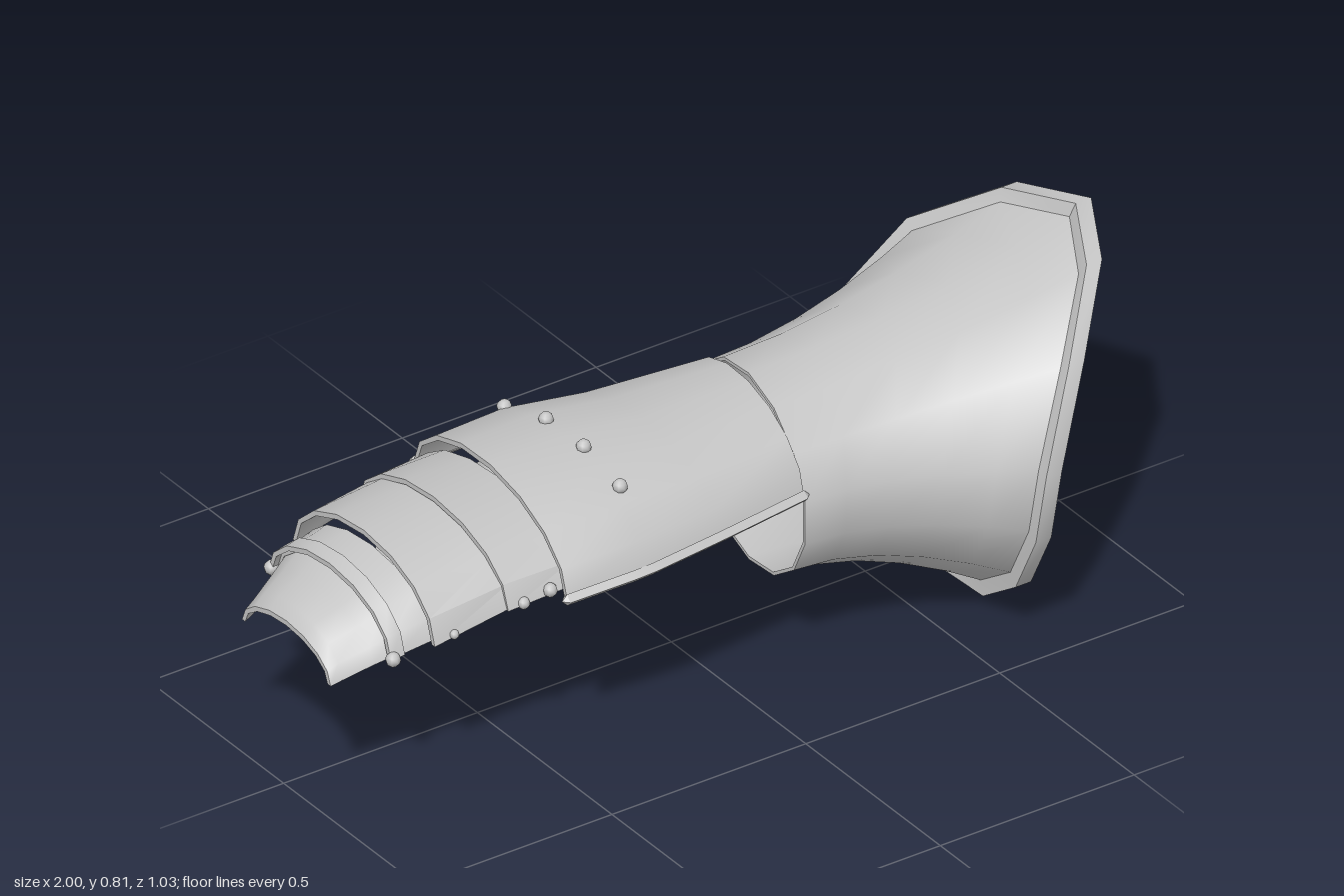
import * as THREE from 'three';
import { toCreasedNormals } from 'three/addons/utils/BufferGeometryUtils.js';

const V = (x, y, z) => new THREE.Vector3(x, y, z);

// Skin closed loops of points; join last loop to first, or cap hollow-arch ends
function loft(rings, joinEnds) {
  const n = rings[0].length, m = rings.length, index = [];
  const quad = (a, b, c, d) => index.push(a, b, c, a, c, d);
  for (let j = 0; j < (joinEnds ? m : m - 1); j++) {
    const r = j * n, s = ((j + 1) % m) * n;
    for (let i = 0; i < n; i++) {
      const k = (i + 1) % n;
      quad(r + i, s + i, s + k, r + k);
    }
  }
  if (!joinEnds) {
    const e = (m - 1) * n;
    for (let i = 0; i < n / 2 - 1; i++) {
      const p = n - 1 - i;
      quad(i, i + 1, p - 1, p);
      quad(e + p, e + p - 1, e + i + 1, e + i);
    }
  }
  const g = new THREE.BufferGeometry().setFromPoints(rings.flat());
  g.setIndex(index);
  return toCreasedNormals(g, 0.6);
}

// Hollow half-ellipse: centre, half-width vector, height vector
function arch(c, w, up, thick = 0.012, steps = 8) {
  const row = (t) => Array.from({ length: steps + 1 }, (_, i) => {
    const a = (Math.PI * i) / steps;
    return c.clone()
      .addScaledVector(w, Math.cos(a) * (1 - t / w.length()))
      .addScaledVector(up, Math.sin(a) * (1 - t / up.length()));
  });
  return [...row(0), ...row(thick).reverse()];
}

export function createModel() {
  const group = new THREE.Group();
  const steel = new THREE.MeshStandardMaterial({ color: 0xc4c4c4, side: THREE.DoubleSide });
  steel.name = 'steel';
  const add = (name, geometry, parent = group) => {
    const mesh = new THREE.Mesh(geometry, steel);
    mesh.name = name;
    parent.add(mesh);
    return mesh;
  };

  // Flared cuff: round wrist opening to a slanted fourteen-sided rim
  const rim = [
    [0.99, 0.82, 0.12], [0.93, 0.785, -0.07], [0.8, 0.67, -0.235], [0.71, 0.49, -0.33],
    [0.69, 0.32, -0.32], [0.68, 0.15, -0.235], [0.68, 0.045, -0.08], [0.67, 0.005, 0.09],
    [0.65, 0.035, 0.265], [0.63, 0.14, 0.415], [0.62, 0.3, 0.505], [0.64, 0.46, 0.515],
    [0.75, 0.66, 0.44], [0.9, 0.785, 0.29],
  ].map((p) => V(...p));
  const cuffRing = (t, inset, dx = 0) => rim.map((r, i) => {
    const a = (2 * Math.PI * i) / rim.length;
    const z0 = 0.05 - 0.265 * Math.sin(a), y0 = 0.41 + 0.232 * Math.cos(a);
    const x0 = 0.165 - 0.13 * (z0 - 0.05);
    const u = Math.pow(t, 1.8);
    const p = V(x0 + (r.x - x0) * t + dx, y0 + (r.y - y0) * u, z0 + (r.z - z0) * u);
    const out = V(0, r.y - 0.41, r.z - 0.093).normalize();
    return p.addScaledVector(out, -inset);
  });
  const ts = [0, 0.2, 0.4, 0.6, 0.8, 0.95];
  add('cuff', loft([
    ...ts.map((t) => cuffRing(t, 0.018 * t)),
    cuffRing(1, 0, -0.03),
    cuffRing(1, 0, 0.01),
    cuffRing(1, 0.03, 0.01),
    ...ts.slice().reverse().map((t) => cuffRing(t, 0.008 + 0.026 * t)),
  ], true));

  // Back-of-hand and finger plates: [x, centre z, half width, edge y, top y, slant]
  const hand = [
    [-0.475, 0.012, 0.322, 0.455, 0.62, -0.025], [-0.3, 0.027, 0.325, 0.467, 0.638, -0.01],
    [-0.1, 0.035, 0.295, 0.47, 0.618, 0], [0.165, 0.048, 0.258, 0.478, 0.622, -0.035],
  ];
  const plates = {
    handPlate: hand,
    knucklePlate: [[-0.62, 0.01, 0.278, 0.445, 0.59], [-0.45, 0.01, 0.288, 0.46, 0.578]],
    middleFingerPlate: [[-0.8, 0.01, 0.264, 0.413, 0.57], [-0.6, 0.01, 0.274, 0.45, 0.575]],
    outerFingerPlate: [[-0.87, 0.008, 0.222, 0.39, 0.506], [-0.78, 0.01, 0.235, 0.41, 0.527]],
    fingerBand: [[-0.885, 0.006, 0.228, 0.386, 0.515], [-0.852, 0.008, 0.23, 0.394, 0.525]],
    fingertipPlate: [
      [-1, 0.01, 0.165, 0.335, 0.415], [-0.975, 0.01, 0.17, 0.343, 0.44],
      [-0.91, 0.008, 0.195, 0.37, 0.465], [-0.86, 0.008, 0.215, 0.39, 0.495],
    ],
  };
  for (const [name, rows] of Object.entries(plates)) {
    add(name, loft(rows.map(([x, z, w, y0, y1, slant = 0]) =>
      arch(V(x, y0, z), V(slant, 0, w), V(0, y1 - y0, 0)))));
  }

  // Raised square beads along both sides of the hand plate
  for (const side of [1, -1]) {
    const path = new THREE.CurvePath();
    const pts = hand.map(([x, z, w, y, , slant]) => V(x + side * slant, y, z + side * w));
    for (let i = 0; i < pts.length - 1; i++) path.add(new THREE.LineCurve3(pts[i], pts[i + 1]));
    const bead = new THREE.TubeGeometry(path, 12, 0.014, 4);
    add(side > 0 ? 'handBeadFront' : 'handBeadBack', toCreasedNormals(bead, 0.6));
    // Small end faces
    for (const end of [0, pts.length - 1]) {
      add('beadEnd', new THREE.OctahedronGeometry(0.014)).position.copy(pts[end]);
    }
  }

  // Rivets across the hand and at the finger hinges
  const rivets = new THREE.Group();
  rivets.name = 'rivets';
  group.add(rivets);
  const rivet = (x, y, z, r) =>
    add('rivet', new THREE.SphereGeometry(r, 8, 6), rivets).position.set(x, y, z);
  for (const z of [-0.21, -0.055, 0.085, 0.22]) {
    const k = (z - 0.027) / 0.325;
    rivet(-0.285, 0.47 + 0.168 * Math.sqrt(1 - k * k), z, 0.017);
  }
  for (const [x, y, w, r] of [
    [-0.88, 0.39, 0.226, 0.017], [-0.75, 0.427, 0.266, 0.011],
    [-0.58, 0.452, 0.279, 0.014], [-0.515, 0.464, 0.284, 0.016],
  ]) {
    for (const side of [1, -1]) rivet(x, y, 0.008 + side * w, r);
  }

  // Thumb: three overlapping plates tapering along a slanted axis
  const base = V(-0.07, 0.3, -0.24), tip = V(-0.42, 0.093, -0.44);
  const across = V(0.18, 0, -0.3).normalize();
  const lift = across.clone().cross(tip.clone().sub(base)).normalize();
  const thumb = new THREE.Group();
  thumb.name = 'thumb';
  group.add(thumb);
  const thumbRing = ([t, w, h]) => arch(base.clone().lerp(tip, t),
    across.clone().multiplyScalar(w), lift.clone().multiplyScalar(h), 0.009, 6);
  const thumbPlates = {
    thumbBasePlate: [[0, 0.175, 0.145], [0.3, 0.167, 0.135], [0.57, 0.15, 0.118]],
    thumbMiddlePlate: [[0.5, 0.143, 0.11], [0.82, 0.117, 0.092]],
    thumbTipPlate: [[0.76, 0.112, 0.086], [1, 0.09, 0.07]],
  };
  for (const [name, rows] of Object.entries(thumbPlates)) {
    add(name, loft(rows.map(thumbRing)), thumb);
  }
  return group;
}
